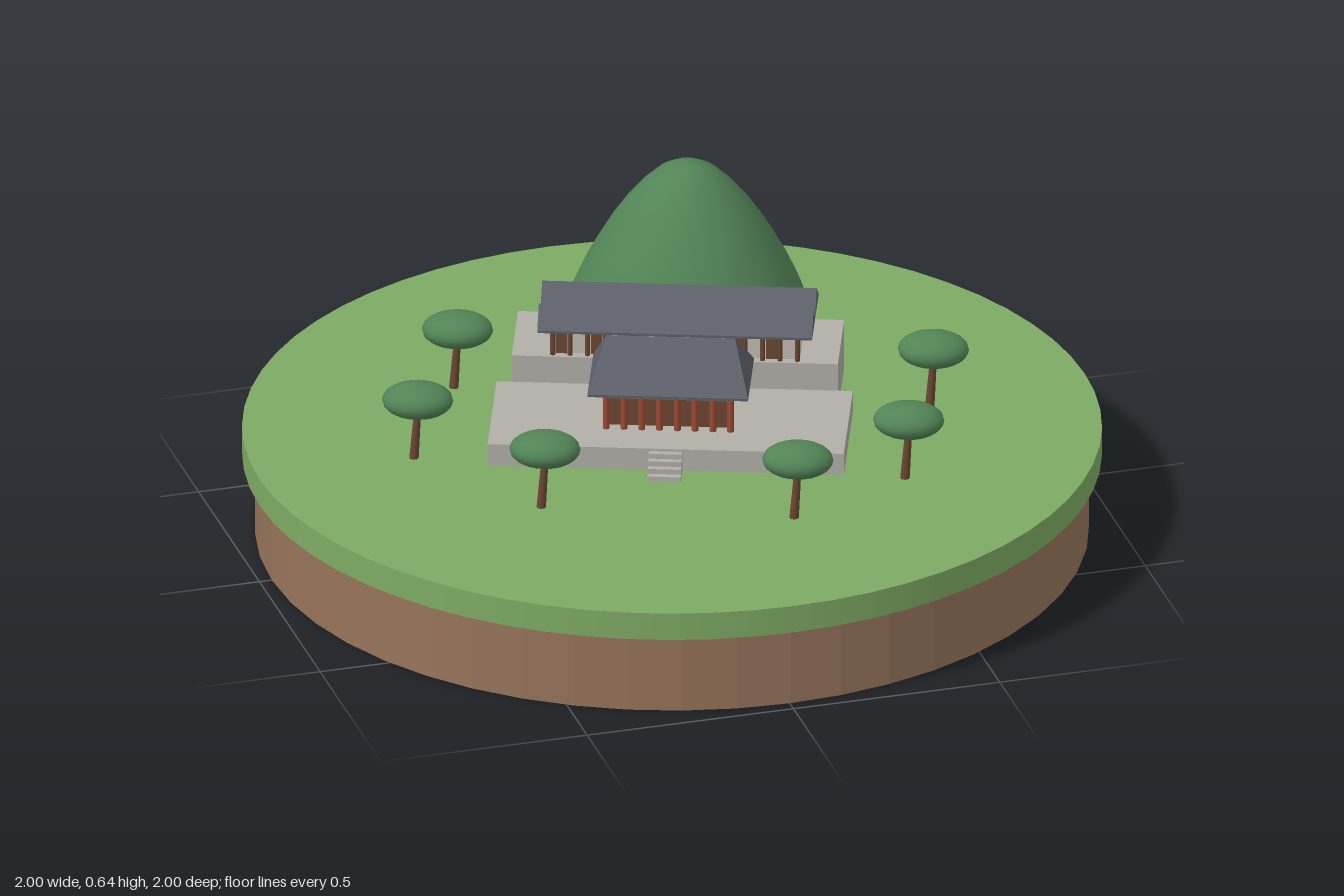
import * as THREE from 'three';
import { ConvexGeometry } from 'three/addons/geometries/ConvexGeometry.js';

const mat = (name, color, opts = {}) => {
  const m = new THREE.MeshStandardMaterial({ color, ...opts });
  m.name = name;
  return m;
};

export function createModel() {
  const grass = mat('grass', 0x7daa63);
  const soil = mat('soil', 0x96735a, { flatShading: true });
  const foliage = mat('foliage', 0x528456);
  const stone = mat('stone', 0xb2afa9);
  const tile = mat('roof tile', 0x5d6069);
  const red = mat('red wall', 0xa03a30);
  const pillar = mat('pillar', 0x9c4a32);
  const plaster = mat('plaster', 0xc0bab0);
  const wood = mat('dark wood', 0x6b4632);

  const model = new THREE.Group();
  model.name = 'hillsideTemple';
  const add = (parent, name, geo, material, x = 0, y = 0, z = 0) => {
    const mesh = new THREE.Mesh(geo, material);
    mesh.name = name;
    mesh.position.set(x, y, z);
    parent.add(mesh);
    return mesh;
  };
  // box given by its size, centre x/z and bottom y
  const box = (parent, name, material, w, h, d, x, y, z) =>
    add(parent, name, new THREE.BoxGeometry(w, h, d), material, x, y + h / 2, z);

  // round island
  const ground = 0.265;
  add(model, 'soilBase', new THREE.CylinderGeometry(0.97, 0.97, 0.2, 48), soil, 0, 0.1, 0);
  add(model, 'grassTop', new THREE.CylinderGeometry(1, 1, 0.068, 64), grass, 0, ground - 0.034, 0);

  // bell-shaped hill
  const hillProfile = [[0.285, 0], [0.265, 0.055], [0.24, 0.11], [0.21, 0.165], [0.18, 0.217],
    [0.145, 0.268], [0.108, 0.312], [0.07, 0.348], [0.035, 0.367], [0, 0.375]];
  add(model, 'hill', new THREE.LatheGeometry(hillProfile.map(p => new THREE.Vector2(...p)), 32),
    foliage, 0.215, ground, -0.605);

  // everything built sits on a turned axis
  const temple = new THREE.Group();
  temple.name = 'temple';
  temple.rotation.y = -Math.PI / 9;
  model.add(temple);

  // terraces
  const low = 0.32, high = 0.388;
  box(temple, 'lowerTerrace', stone, 0.83, low - ground, 0.336, 0, ground, 0.068);
  box(temple, 'upperTerrace', stone, 0.76, high - ground, 0.237, 0, ground, -0.2185);

  // stairs rising towards the back against a wall at z
  const stairs = (name, z, y0, y1, run, count) => {
    const g = new THREE.Group();
    g.name = name;
    temple.add(g);
    for (let i = 0; i < count; i++) {
      const d = run * (count - i) / count;
      const h = (y1 - y0) / (count + 0.5);
      box(g, 'step', stone, 0.078, h, d, 0, y0 + i * h, z + d / 2);
    }
  };
  stairs('frontStairs', 0.236, ground, low, 0.061, 4);
  stairs('upperStairs', -0.1, low, high, 0.035, 4);

  // solid roof: eave rectangle with a thin edge, rising to a ridge
  const roof = (parent, name, halfL, halfW, halfRidge, eave, ridge, z) => {
    const pts = [];
    for (const sx of [-1, 1]) {
      for (const sz of [-1, 1])
        for (const y of [eave - 0.006, eave]) pts.push(new THREE.Vector3(sx * halfL, y, sz * halfW));
      pts.push(new THREE.Vector3(sx * halfRidge, ridge, 0));
    }
    return add(parent, name, new ConvexGeometry(pts), tile, 0, 0, z);
  };
  const pillarRow = (parent, count, half, r, y0, y1, z, material) => {
    const geo = new THREE.CylinderGeometry(r, r, y1 - y0, 8);
    for (let i = 0; i < count; i++)
      add(parent, 'pillar', geo, material, -half + 2 * half * i / (count - 1), (y0 + y1) / 2, z);
  };

  // main hall on the lower terrace
  const hall = new THREE.Group();
  hall.name = 'mainHall';
  temple.add(hall);
  box(hall, 'hallWalls', red, 0.28, 0.095, 0.135, 0, low, 0.042);
  pillarRow(hall, 8, 0.145, 0.008, low, 0.412, 0.132, pillar);
  box(hall, 'eaveBeam', foliage, 0.306, 0.014, 0.012, 0, 0.4, 0.132);
  for (let i = 0; i < 7; i++)
    box(hall, 'doorPanel', wood, 0.027, 0.07, 0.004, -0.124 + i * 0.0414, low, 0.111);
  roof(hall, 'hallRoof', 0.187, 0.11, 0.15, 0.418, 0.52, 0.05);

  // two long parallel halls on the upper terrace
  for (const [name, z] of [['middleHall', -0.157], ['rearHall', -0.278]]) {
    const g = new THREE.Group();
    g.name = name;
    temple.add(g);
    box(g, 'longWalls', plaster, 0.58, 0.068, 0.07, 0, high, z);
    pillarRow(g, 15, 0.285, 0.006, high, 0.455, z + 0.045, wood);
    box(g, 'longBeam', wood, 0.585, 0.01, 0.01, 0, 0.445, z + 0.045);
    for (let i = 0; i < 14; i += 2)
      box(g, 'longDoor', wood, 0.026, 0.055, 0.004, -0.265 + i * 0.0408, high, z + 0.036);
    roof(g, 'longRoof', 0.32, 0.06, 0.32, 0.455, 0.497, z);
  }

  // trees with flat crowns and slightly leaning trunks
  const crown = new THREE.SphereGeometry(1, 20, 12).scale(0.083, 0.041, 0.067);
  const trunk = new THREE.CylinderGeometry(0.008, 0.011, 0.135, 8);
  for (const [x, z] of [[-0.42, -0.34], [-0.615, -0.005], [-0.405, 0.33],
    [0.143, 0.55], [0.45, 0.42], [0.612, 0.073]]) {
    const tree = new THREE.Group();
    tree.name = 'tree';
    tree.position.set(x, ground, z);
    tree.rotation.y = -Math.PI / 9;
    add(tree, 'crown', crown, foliage, 0, 0.15, 0);
    add(tree, 'trunk', trunk, wood, -0.004, 0.065, 0).rotation.z = -0.07;
    model.add(tree);
  }
  return model;
}
